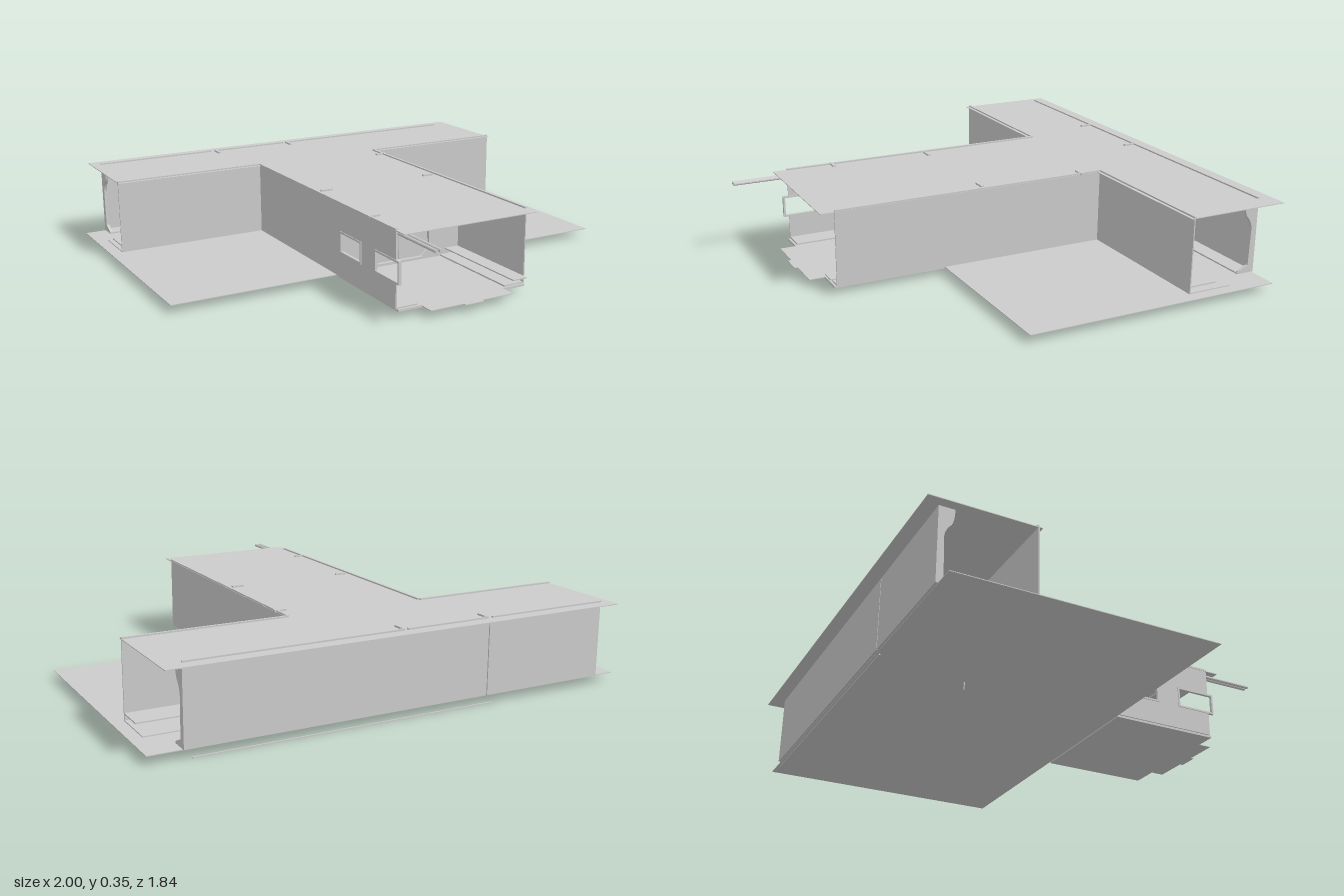
import * as THREE from 'three';

const grey = new THREE.MeshStandardMaterial({ color: 0xcccccc, side: THREE.DoubleSide, flatShading: true });

export function createModel() {
  const model = new THREE.Group();

  const add = (name, geometry) => {
    const mesh = new THREE.Mesh(geometry, grey);
    mesh.name = name;
    model.add(mesh);
    return mesh;
  };
  // Box given by its limits on each axis
  const box = (name, x0, x1, y0, y1, z0, z1) => {
    const mesh = add(name, new THREE.BoxGeometry(x1 - x0, y1 - y0, z1 - z0));
    mesh.position.set((x0 + x1) / 2, (y0 + y1) / 2, (z0 + z1) / 2);
    return mesh;
  };
  const outline = (points) => new THREE.Shape(points.map(([x, y]) => new THREE.Vector2(x, y)));
  const extrude = (shape, depth) => new THREE.ExtrudeGeometry(shape, { depth, bevelEnabled: false });
  const pipe = (name, length, x, y, z, alongX) => {
    const mesh = add(name, new THREE.CylinderGeometry(0.007, 0.007, length, 10));
    mesh.rotation.set(alongX ? 0 : Math.PI / 2, 0, alongX ? Math.PI / 2 : 0);
    mesh.position.set(x, y, z);
  };

  const low = 0.035, roof = 0.338, top = 0.346;

  // T-shaped ceiling sheet; shape y becomes z
  const ceiling = add('ceiling', extrude(outline([
    [-0.95, -0.922], [0.95, -0.922], [0.95, -0.487], [0.3, -0.487],
    [0.3, 0.735], [-0.297, 0.735], [-0.297, -0.487], [-0.95, -0.487],
  ]), 0.003));
  ceiling.rotation.x = Math.PI / 2;
  ceiling.position.y = roof + 0.002;

  // Floors
  box('mainFloor', -1, 1, low - 0.003, low, -0.857, 0.217);
  box('corridorFloor', -0.29, 0.29, 0.026, low, 0.217, 0.686);
  box('floorLip', -0.19, 0.185, low - 0.003, low, 0.686, 0.752);
  box('floorTab', -0.045, 0.04, low - 0.003, low, 0.752, 0.766);
  box('lowerStrip', -0.4, 0.84, 0, 0.005, -0.865, -0.86);
  box('floorPost', -0.28, -0.276, 0, low, -0.474, -0.47);

  // Back wall in two panels and the front walls of the wings
  box('backWallPanel', -0.91, -0.372, low, roof, -0.866, -0.86);
  box('backWallPanel', -0.368, 0.87, low, roof, -0.866, -0.86);
  for (const s of [-1, 1]) {
    box('wingWall', Math.min(s * 0.295, s * 0.95), Math.max(s * 0.295, s * 0.95), low, roof, -0.505, -0.5);
    box('wingRidge', Math.min(s * 0.295, s * 0.95), Math.max(s * 0.295, s * 0.95), roof, top, -0.51, -0.5);
    box('corridorRidge', s * 0.293 - 0.005, s * 0.293 + 0.005, roof, top, -0.5, 0.675);
    // Low benches behind the wing walls
    const x0 = s > 0 ? 0.3 : -0.95, x1 = s > 0 ? 0.95 : -0.3;
    box('wingBench', x0, x1, 0.061, 0.066, -0.62, -0.505);
    box('wingBase', x0, x1, low, low + 0.004, -0.69, -0.505);
  }
  for (const [a, b] of [[-0.91, -0.38], [-0.36, -0.005], [0.01, 0.87]])
    box('backRidge', a, b, roof, top, -0.87, -0.86);

  // Corridor side walls: one plain, the other with two windows
  box('corridorWall', 0.291, 0.296, low, roof, -0.5, 0.676);
  const wall = outline([
    [-0.5, low], [0.676, low], [0.676, 0.137], [0.525, 0.137],
    [0.525, 0.225], [0.676, 0.225], [0.676, roof], [-0.5, roof],
  ]);
  wall.holes.push(outline([[0.25, 0.137], [0.25, 0.225], [0.42, 0.225], [0.42, 0.137]]));
  const windowWall = add('windowWall', extrude(wall, 0.005));
  windowWall.rotation.y = -Math.PI / 2;
  windowWall.position.x = -0.291;

  for (const [a, b] of [[0.25, 0.42], [0.52, 0.7]]) {
    const frame = outline([[a, 0.135], [b, 0.135], [b, 0.227], [a, 0.227]]);
    frame.holes.push(outline([[a + 0.008, 0.143], [a + 0.008, 0.219], [b - 0.008, 0.219], [b - 0.008, 0.143]]));
    const mesh = add('windowFrame', extrude(frame, 0.012));
    mesh.rotation.y = -Math.PI / 2;
    mesh.position.x = -0.287;
  }

  // Corridor bench along the plain wall
  box('corridorBench', 0.225, 0.29, 0.061, 0.066, 0.22, 0.7);
  box('corridorBase', 0.2, 0.29, low, low + 0.006, 0.22, 0.676);
  box('corridorBase', -0.29, -0.2, low, low + 0.006, 0.22, 0.676);

  // Curved wall ribs with a flared foot; shape x is the distance from the wall
  const rib = new THREE.Shape();
  rib.moveTo(0, low);
  rib.lineTo(0.07, low);
  rib.lineTo(0.065, 0.045);
  rib.lineTo(0.022, 0.065);
  rib.lineTo(0.018, 0.22);
  rib.quadraticCurveTo(0.022, 0.25, 0.042, 0.27);
  rib.quadraticCurveTo(0.055, 0.285, 0.056, roof);
  rib.lineTo(0, roof);
  const ribGeometry = extrude(rib, 0.012);
  for (const x of [-0.91, -0.64, -0.37, 0, 0.43, 0.858]) {
    const mesh = add('backRib', ribGeometry);
    mesh.rotation.y = -Math.PI / 2;
    mesh.position.set(x + 0.012, 0, -0.86);
  }
  for (const z of [-0.45, 0.05, 0.46])
    add('corridorRib', ribGeometry).position.set(-0.291, 0, z);
  box('backBase', -0.91, 0.87, low, low + 0.006, -0.86, -0.79);

  // Paired service pipes under the ceiling
  for (const x of [-0.276, -0.256]) pipe('corridorPipe', 1.41, x, 0.322, 0.21, false);
  for (const z of [-0.83, -0.848]) pipe('backPipe', 1.78, -0.02, 0.325, z, true);

  // Partition with an octagonal double door
  const octagon = [
    [-0.14, 0.075], [-0.11, 0.048], [0.11, 0.048], [0.14, 0.075],
    [0.14, 0.21], [0.085, 0.268], [-0.085, 0.268], [-0.14, 0.21],
  ];
  const partition = outline([[-0.29, low], [0.29, low], [0.29, roof], [-0.29, roof]]);
  partition.holes.push(outline([...octagon].reverse()));
  add('partition', extrude(partition, 0.006)).position.z = 0.214;
  for (const s of [-1, 1]) {
    const leaf = outline([
      [s * 0.002, 0.048], [s * 0.11, 0.048], [s * 0.14, 0.075],
      [s * 0.14, 0.21], [s * 0.085, 0.268], [s * 0.002, 0.268],
    ]);
    add('doorLeaf', extrude(leaf, 0.004)).position.z = 0.205;
  }
  const surround = outline(octagon.map(([x, y]) => [x * 1.06, 0.158 + (y - 0.158) * 1.06]));
  surround.holes.push(outline([...octagon].reverse()));
  add('doorSurround', extrude(surround, 0.012)).position.z = 0.214;
  box('ceilingLamp', -0.04, 0.04, roof - 0.008, roof, 0.6, 0.68);

  // Small clips on the ceiling
  for (const [x, z] of [[-0.25, 0.05], [-0.275, 0.48], [0.25, 0.04], [0.28, -0.41]])
    box('ceilingClip', x - 0.025, x + 0.025, roof, top + 0.001, z - 0.006, z + 0.006);
  for (const x of [-0.36, 0.01])
    box('ceilingClip', x - 0.006, x + 0.006, roof, top + 0.001, -0.86, -0.81);
  return model;
}
